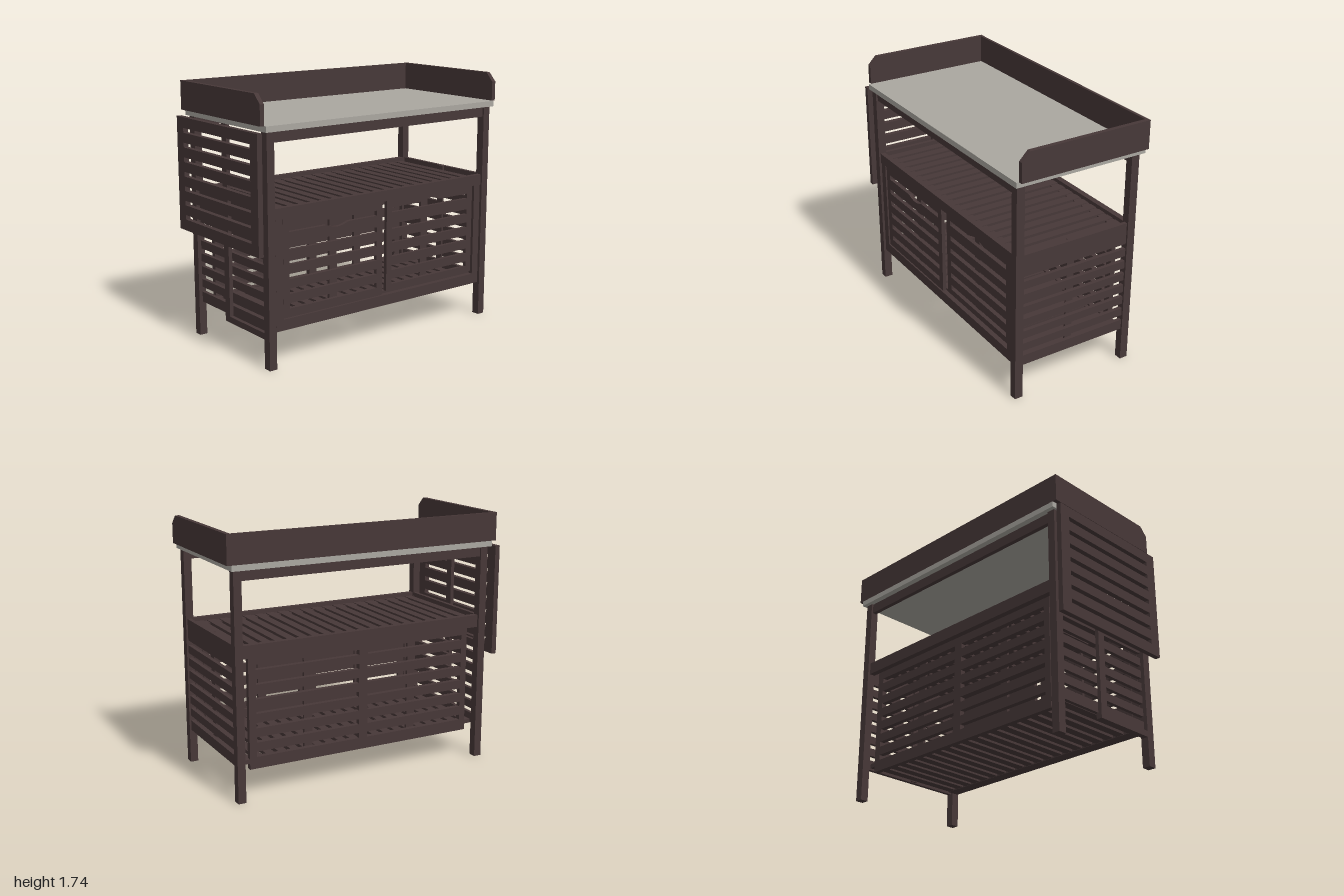
import * as THREE from 'three';

const wood = new THREE.MeshStandardMaterial({ color: 0x473838 });
wood.name = 'dark brown wood';
const stone = new THREE.MeshStandardMaterial({ color: 0xaaa7a0 });
stone.name = 'grey worktop';

// Box given by its lower and upper limits on each axis
function box(parent, name, [x0, x1], [y0, y1], [z0, z1], mat = wood) {
  const m = new THREE.Mesh(new THREE.BoxGeometry(x1 - x0, y1 - y0, z1 - z0), mat);
  m.position.set((x0 + x1) / 2, (y0 + y1) / 2, (z0 + z1) / 2);
  m.name = name;
  parent.add(m);
  return m;
}

function outline(points, Type = THREE.Path) {
  return new Type(points.map(([x, y]) => new THREE.Vector2(x, y)));
}
const rect = ([u0, u1], [v0, v1]) => [[u0, v0], [u1, v0], [u1, v1], [u0, v1]];

// Flat board with cut-outs, extruded through its thickness
function board(parent, name, points, holes, depth) {
  const shape = outline(points, THREE.Shape);
  shape.holes = holes.map((h) => outline(h));
  const m = new THREE.Mesh(
    new THREE.ExtrudeGeometry(shape, { depth, bevelEnabled: false }), wood);
  m.name = name;
  parent.add(m);
  return m;
}

// Rows of slots: columns are ranges across, rows are slot centres
function slots(columns, rows, h) {
  return columns.flatMap((c) => rows.map((r) => rect(c, [r - h / 2, r + h / 2])));
}
const series = (start, step, n) => Array.from({ length: n }, (_, i) => start + i * step);

// Stand a board in the z-y plane, with its outer face at x
function turnToSide(mesh, x) {
  mesh.rotation.y = -Math.PI / 2;
  mesh.position.x = x;
}

// Door with louvre slots; the top slot has a finger notch below (-1) or above (+1)
function door(parent, name, [x0, x1], [y0, y1], z, notchX, notchDir) {
  const col = [x0 + 0.047, x1 - 0.047];
  const rows = series(0.39, 0.0955, 5);
  const holes = slots([col], rows, 0.035);
  const lo = 0.868, hi = 0.902;
  const notch = series(0, 1, 9).map((i) => {
    const t = i / 8;
    return [notchX - 0.09 + 0.18 * t,
      (notchDir < 0 ? lo : hi) + notchDir * 0.022 * Math.sin(Math.PI * t)];
  });
  holes.push(notchDir < 0
    ? [[col[0], lo], ...notch, [col[1], lo], [col[1], hi], [col[0], hi]]
    : [[col[0], lo], [col[1], lo], [col[1], hi], ...notch.reverse(), [col[0], hi]]);
  board(parent, name, rect([x0, x1], [y0, y1]), holes, 0.025).position.z = z;
}

export function createModel() {
  const model = new THREE.Group();
  model.name = 'slattedSideboard';

  // Legs
  for (const x of [[-0.92, -0.866], [0.896, 0.95]]) {
    box(model, 'frontLeg', x, [0, 1.51], [0.4, 0.458]);
    box(model, 'backLeg', x, [0, 1.51], [-0.447, -0.39]);
  }
  const span = [-0.866, 0.896];

  // Worktop and its supporting rails
  box(model, 'worktop', [-0.935, 0.97], [1.51, 1.548], [-0.475, 0.475], stone);
  box(model, 'frontTopRail', span, [1.44, 1.51], [0.415, 0.445]);
  box(model, 'backTopRail', span, [1.44, 1.51], [-0.435, -0.405]);

  // Raised rim: back board and two side boards with a clipped front corner
  box(model, 'backBoard', [-0.965, 1], [1.548, 1.74], [-0.475, -0.455]);
  const side = [[-0.455, 1.548], [0.458, 1.548], [0.458, 1.68], [0.4, 1.74], [-0.455, 1.74]];
  for (const x of [-0.935, 1]) turnToSide(board(model, 'rimSide', side, [], 0.03), x);

  // Folding leaf hanging on one side
  turnToSide(board(model, 'hangingLeaf', rect([-0.475, 0.475], [0.75, 1.51]),
    slots([[-0.395, 0.395]], series(0.84, 0.0972, 7), 0.031), 0.035), -0.965);

  // Cabinet ends with louvres
  for (const x of [-0.868, 0.938]) {
    turnToSide(board(model, 'cabinetEnd', rect([-0.392, 0.402], [0.235, 1.03]),
      slots([[-0.39, 0.4]], series(0.323, 0.09, 7), 0.035), 0.026), x);
  }
  box(model, 'outerPost', [-0.92, -0.894], [0.195, 1.51], [-0.055, 0]);
  box(model, 'outerFootRail', [-0.92, -0.88], [0.195, 0.236], [-0.055, 0.4]);
  box(model, 'innerPost', [0.897, 0.912], [0.24, 1.03], [0, 0.053]);

  // Cabinet front frame and sliding doors
  board(model, 'frontFrame', rect([-0.857, 0.89], [0.24, 0.96]),
    [rect([-0.802, 0.835], [0.312, 0.957])], 0.035).position.z = 0.41;
  box(model, 'frontShelfRail', span, [0.958, 1.03], [0.41, 0.445]);
  box(model, 'doorTrack', [-0.802, 0.835], [0.312, 0.33], [0.38, 0.41]);
  door(model, 'leftHandDoor', [-0.796, 0.002], [0.315, 0.955], 0.412, -0.37, -1);
  door(model, 'rightHandDoor', [0.05, 0.835], [0.33, 0.957], 0.4, 0.43, 1);
  for (const x of [-0.38, 0.405]) {
    box(model, 'doorPost', [x - 0.03, x + 0.03], [0.315, 0.955], [0.38, 0.4]);
    box(model, 'backPost', [x - 0.03, x + 0.03], [0.195, 0.95], [-0.355, -0.335]);
  }

  // Cabinet back with two columns of louvres
  board(model, 'cabinetBack', rect([-0.81, 0.84], [0.195, 0.96]),
    slots([[-0.765, -0.02], [0.044, 0.79]], series(0.292, 0.0965, 7), 0.036), 0.035)
    .position.z = -0.39;
  box(model, 'backShelfRail', span, [0.945, 1.03], [-0.43, -0.39]);

  // Slatted shelf and slatted floor
  for (const [name, y] of [['shelf', [0.975, 1.005]], ['floor', [0.24, 0.265]]]) {
    for (const x of series(-0.855, 0.0882, 20)) {
      box(model, name + 'Slat', [x, x + 0.06], y, [-0.39, 0.41]);
    }
    for (const z of [[-0.39, -0.33], [0.35, 0.41]]) {
      box(model, name + 'Bearer', [-0.857, 0.885], [y[0] - 0.003, y[1] - 0.005], z);
    }
  }

  return model;
}
